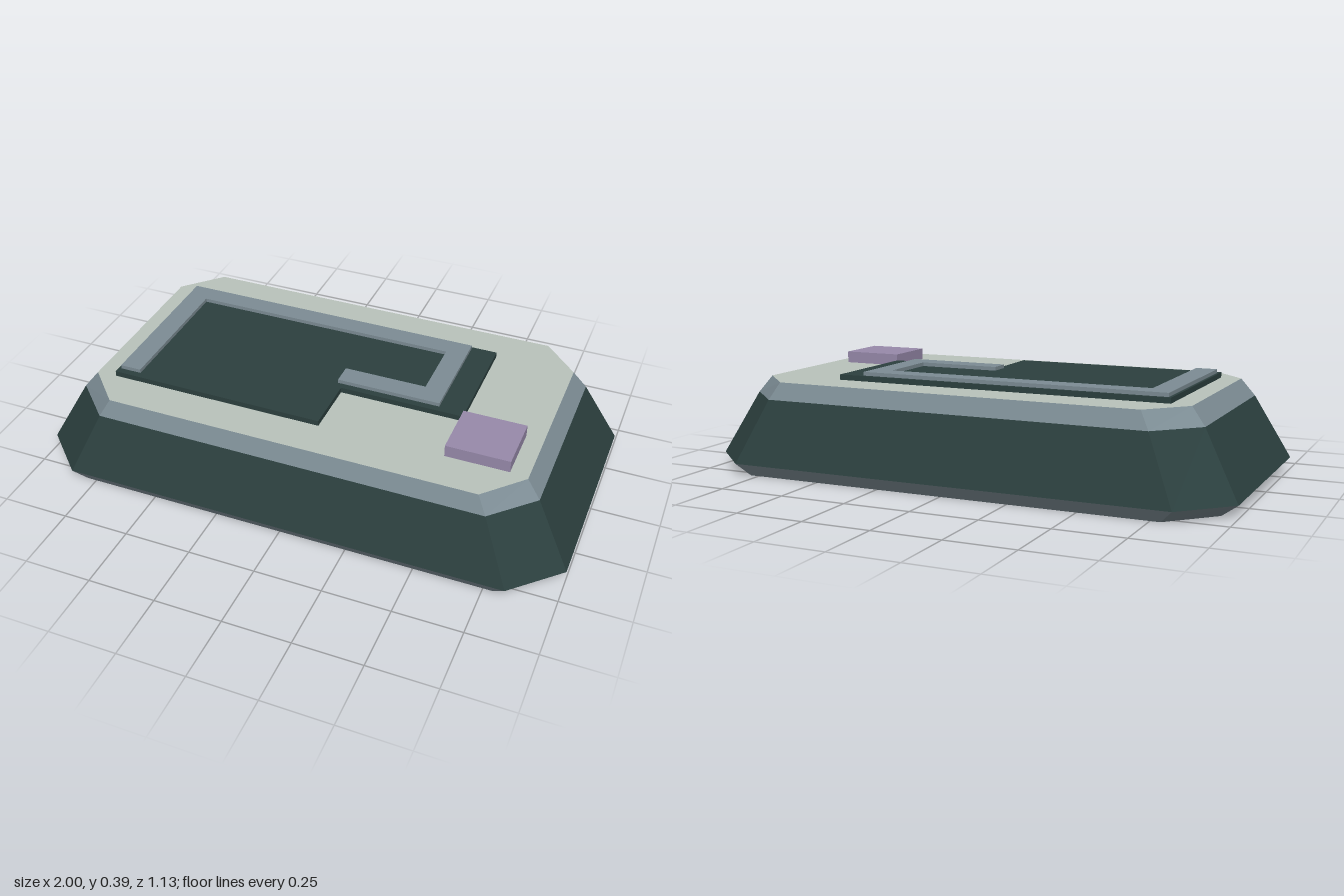
import * as THREE from 'three';

const flat = (name, color) => {
  const m = new THREE.MeshStandardMaterial({ color });
  m.name = name;
  return m;
};

// Body cross-sections: height, half width, half depth, and where each corner cut starts
const SECTIONS = [
  { y: 0, X: 0.94, Z: 0.535, cx: 0.785, cz: 0.38 },
  { y: 0.045, X: 1, Z: 0.565, cx: 0.83, cz: 0.4 },
  { y: 0.28, X: 0.87, Z: 0.492, cx: 0.725, cz: 0.347 },
  { y: 0.343, X: 0.82, Z: 0.467, cx: 0.69, cz: 0.33 },
];

// Eight corners, counter-clockwise seen from above
const ring = ({ y, X, Z, cx, cz }) => [
  [X, cz], [X, -cz], [cx, -Z], [-cx, -Z], [-X, -cz], [-X, cz], [-cx, Z], [cx, Z],
].map(([x, z]) => [x, y, z]);

function facets(triangles) {
  const g = new THREE.BufferGeometry();
  g.setAttribute('position', new THREE.Float32BufferAttribute(triangles.flat(2), 3));
  g.computeVertexNormals();
  return g;
}

function band(lower, upper) {
  const a = ring(lower), b = ring(upper), tris = [];
  for (let i = 0; i < 8; i++) {
    const j = (i + 1) % 8;
    tris.push([a[i], a[j], b[j]], [a[i], b[j], b[i]]);
  }
  return facets(tris);
}

function cap(section, up) {
  const p = ring(section), tris = [];
  for (let i = 1; i < 7; i++) tris.push(up ? [p[0], p[i], p[i + 1]] : [p[0], p[i + 1], p[i]]);
  return facets(tris);
}

// Flat plate from an [x, z] outline
function plate(outline, y0, y1) {
  const shape = new THREE.Shape(outline.map(([x, z]) => new THREE.Vector2(x, -z)));
  const g = new THREE.ExtrudeGeometry(shape, { depth: y1 - y0, bevelEnabled: false });
  return g.rotateX(-Math.PI / 2).translate(0, y0, 0);
}

export function createModel() {
  const model = new THREE.Group();
  model.name = 'steppedBase';
  const green = flat('darkGreen', 0x2c403f);
  const slate = flat('slateGrey', 0x7d8d95);
  const pale = flat('paleGrey', 0xbac4bc);
  const mauve = flat('mauve', 0x988aab);

  const add = (name, geometry, material) => {
    const mesh = new THREE.Mesh(geometry, material);
    mesh.name = name;
    model.add(mesh);
  };

  // Body
  const [s0, s1, s2, s3] = SECTIONS;
  add('underside', cap(s0, false), slate);
  add('footBand', band(s0, s1), slate);
  add('slopedWalls', band(s1, s2), green);
  add('upperTrim', band(s2, s3), slate);
  add('deck', cap(s3, true), pale);

  // Notched panel lying on the deck
  add('panel', plate([
    [-0.745, -0.32], [0.525, -0.32], [0.525, 0.11], [0.065, 0.11], [0.065, 0.325], [-0.745, 0.325],
  ], 0.34, 0.363), green);

  // Hooked rail on the panel
  add('rail', plate([
    [-0.735, -0.31], [0.43, -0.31], [0.43, 0.085], [0.043, 0.085], [0.043, 0.007],
    [0.352, 0.007], [0.352, -0.235], [-0.655, -0.235], [-0.655, 0.3], [-0.735, 0.3],
  ], 0.36, 0.377), slate);

  // Small block beside the panel
  add('block', new THREE.BoxGeometry(0.23, 0.047, 0.212).translate(0.64, 0.3635, 0.213), mauve);

  return model;
}
